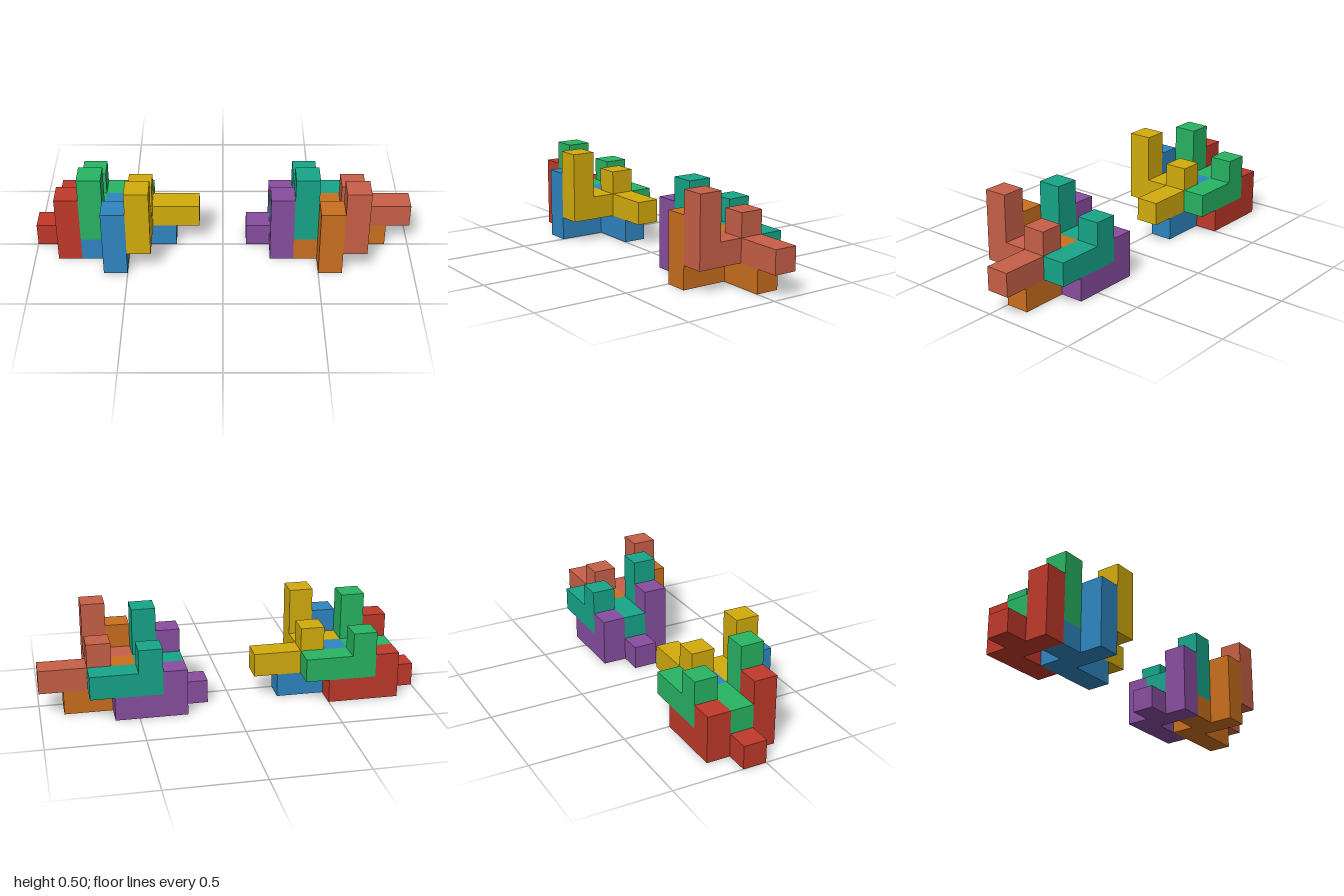
import * as THREE from 'three';
import { mergeGeometries } from 'three/addons/utils/BufferGeometryUtils.js';

const U = 0.125; // edge of one unit cube

// Unit cubes of the one piece shape that every part shares
const CELLS = [
  [1, 0, 2], [1, 1, 2], [1, 2, 2], // tall post
  [1, 0, 1], [0, 0, 1],            // hub and side stub
  [1, 0, 0], [1, 1, 0],            // short post
  [2, 0, 0], [3, 0, 0],            // long arm
];

// Outer skin of the cubes: a square wherever a cube has no neighbour
function pieceGeometry() {
  const filled = new Set(CELLS.map(String));
  const forward = new THREE.Vector3(0, 0, 1);
  const squares = [];
  for (const cell of CELLS) {
    for (let axis = 0; axis < 3; axis++) {
      for (const sign of [-1, 1]) {
        const next = [...cell];
        next[axis] += sign;
        if (filled.has(String(next))) continue;
        const normal = new THREE.Vector3().setComponent(axis, sign);
        const square = new THREE.PlaneGeometry(U, U);
        square.translate(0, 0, U / 2);
        square.applyQuaternion(new THREE.Quaternion().setFromUnitVectors(forward, normal));
        square.translate(...cell.map((c) => (c + 0.5) * U));
        squares.push(square);
      }
    }
  }
  return mergeGeometries(squares);
}

export function createModel() {
  const model = new THREE.Group();
  model.name = 'interlockingBlocks';
  const geometry = pieceGeometry();

  // Offset of each piece within a cluster, in unit cubes
  const pieces = [
    { name: 'lowerBackPiece', offset: [0, 0, 0] },
    { name: 'lowerFrontPiece', offset: [2, 0, 1] },
    { name: 'upperBackPiece', offset: [1, 1, 0] },
    { name: 'upperFrontPiece', offset: [3, 1, 1] },
  ];
  const clusters = [
    { name: 'rightCluster', x: -1, colors: [0xc0392b, 0x2e86c1, 0x28b463, 0xd4ac0d] },
    { name: 'leftCluster', x: 0.125, colors: [0x884ea0, 0xca6f1e, 0x17a589, 0xc86048] },
  ];

  for (const { name, x, colors } of clusters) {
    const cluster = new THREE.Group();
    cluster.name = name;
    cluster.position.set(x, 0, -2 * U);
    pieces.forEach((piece, i) => {
      const mesh = new THREE.Mesh(geometry, new THREE.MeshStandardMaterial({ color: colors[i] }));
      mesh.name = piece.name;
      mesh.position.set(...piece.offset).multiplyScalar(U);
      cluster.add(mesh);
    });
    model.add(cluster);
  }
  return model;
}
